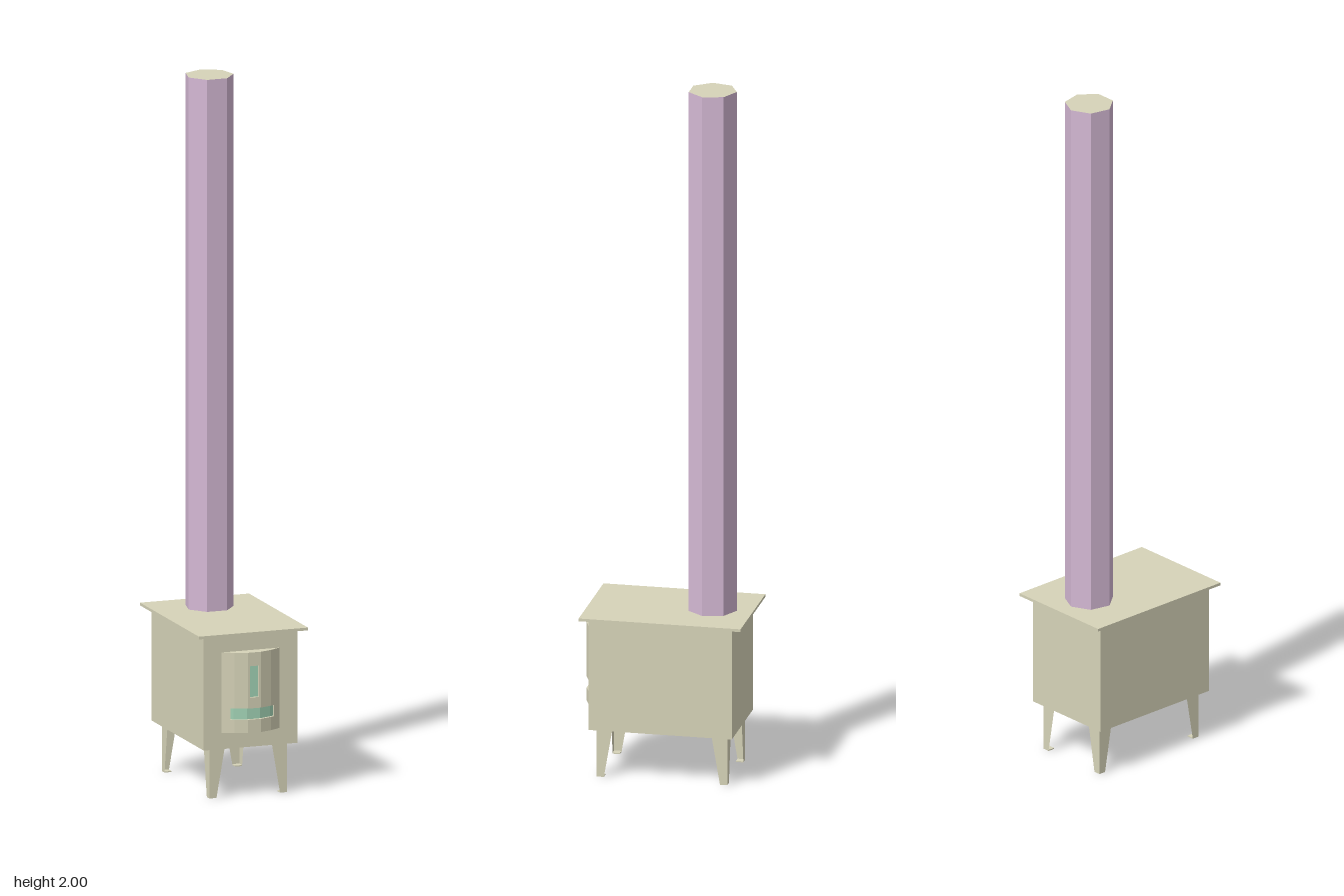
import * as THREE from 'three';

const mat = (color) => new THREE.MeshStandardMaterial({ color, flatShading: true, side: THREE.DoubleSide });

// Bowed front of the door: knots of depth against x
const bow = [[-0.087, 0.205], [-0.055, 0.223], [-0.02, 0.236], [0.02, 0.236], [0.055, 0.223], [0.087, 0.205]];
function bowZ(x) {
  for (let i = 0; i < bow.length - 1; i++) {
    const [xa, za] = bow[i], [xb, zb] = bow[i + 1];
    if (x <= xb) return za + (zb - za) * (x - xa) / (xb - xa);
  }
  return 0.205;
}

// Piece of the door between x0..x1 and y0..y1, optionally sunk back
function doorPiece(x0, x1, y0, y1, sink = 0) {
  const xs = [x0, ...bow.map((p) => p[0]).filter((x) => x > x0 && x < x1), x1];
  const pts = xs.map((x) => new THREE.Vector2(x, -Math.max(bowZ(x) - sink, 0.205)));
  pts.push(new THREE.Vector2(x1, -0.2), new THREE.Vector2(x0, -0.2));
  const geo = new THREE.ExtrudeGeometry(new THREE.Shape(pts), { depth: y1 - y0, bevelEnabled: false });
  return geo.rotateX(-Math.PI / 2).translate(0, y0, 0);
}

// Tapered leg plate, straight on the outer edge
function legPlate() {
  const s = new THREE.Shape([[0, 0], [0.021, 0], [0.046, 0.145], [0, 0.145]].map(([x, y]) => new THREE.Vector2(x, y)));
  return new THREE.ShapeGeometry(s);
}

export function createModel() {
  const model = new THREE.Group();
  const beige = mat(0xd6d3b8), purple = mat(0xd4b8d4), green = mat(0xa4d6b8);
  const add = (name, geo, material, parent = model) => {
    const mesh = new THREE.Mesh(geo, material);
    mesh.name = name;
    parent.add(mesh);
    return mesh;
  };

  // Firebox and overhanging top plate
  add('firebox', new THREE.BoxGeometry(0.28, 0.327, 0.41).translate(0, 0.3065, 0), beige);
  add('topPlate', new THREE.BoxGeometry(0.326, 0.008, 0.463).translate(0, 0.472, -0.0035), beige);

  // Seven-sided chimney pipe and its cap
  add('chimneyPipe', new THREE.CylinderGeometry(0.069, 0.069, 1.526, 7, 1, true, Math.PI).translate(0, 1.237, -0.12), purple);
  add('chimneyCap', new THREE.CircleGeometry(0.069, 7, Math.PI / 2).rotateX(-Math.PI / 2).translate(0, 2, -0.12), beige);

  // Door built around the window and the air slot
  const door = new THREE.Group();
  door.name = 'door';
  model.add(door);
  const W = 0.087, slot = 0.065, win = 0.013;
  [
    [-W, W, 0.19, 0.228],
    [-W, -slot, 0.228, 0.26], [slot, W, 0.228, 0.26],
    [-W, W, 0.26, 0.291],
    [-W, -win, 0.291, 0.381], [win, W, 0.291, 0.381],
    [-W, W, 0.381, 0.42],
  ].forEach((r) => add('doorPanel', doorPiece(...r), beige, door));
  add('airSlot', doorPiece(-slot, slot, 0.228, 0.26, 0.008), green, door);
  add('window', doorPiece(-win, win, 0.291, 0.381, 0.008), green, door);

  // Four angle-section legs with small feet
  for (const sx of [-1, 1]) for (const sz of [-1, 1]) {
    const leg = new THREE.Group();
    leg.name = 'leg';
    add('legFrontPlate', legPlate(), beige, leg);
    add('legSidePlate', legPlate().rotateY(Math.PI / 2), beige, leg);
    add('foot', new THREE.BoxGeometry(0.021, 0.003, 0.021).translate(0.0105, 0.0015, -0.0105), beige, leg);
    leg.position.set(sx * 0.116, 0, sz * 0.187);
    leg.scale.set(-sx, 1, sz);
    model.add(leg);
  }
  return model;
}
